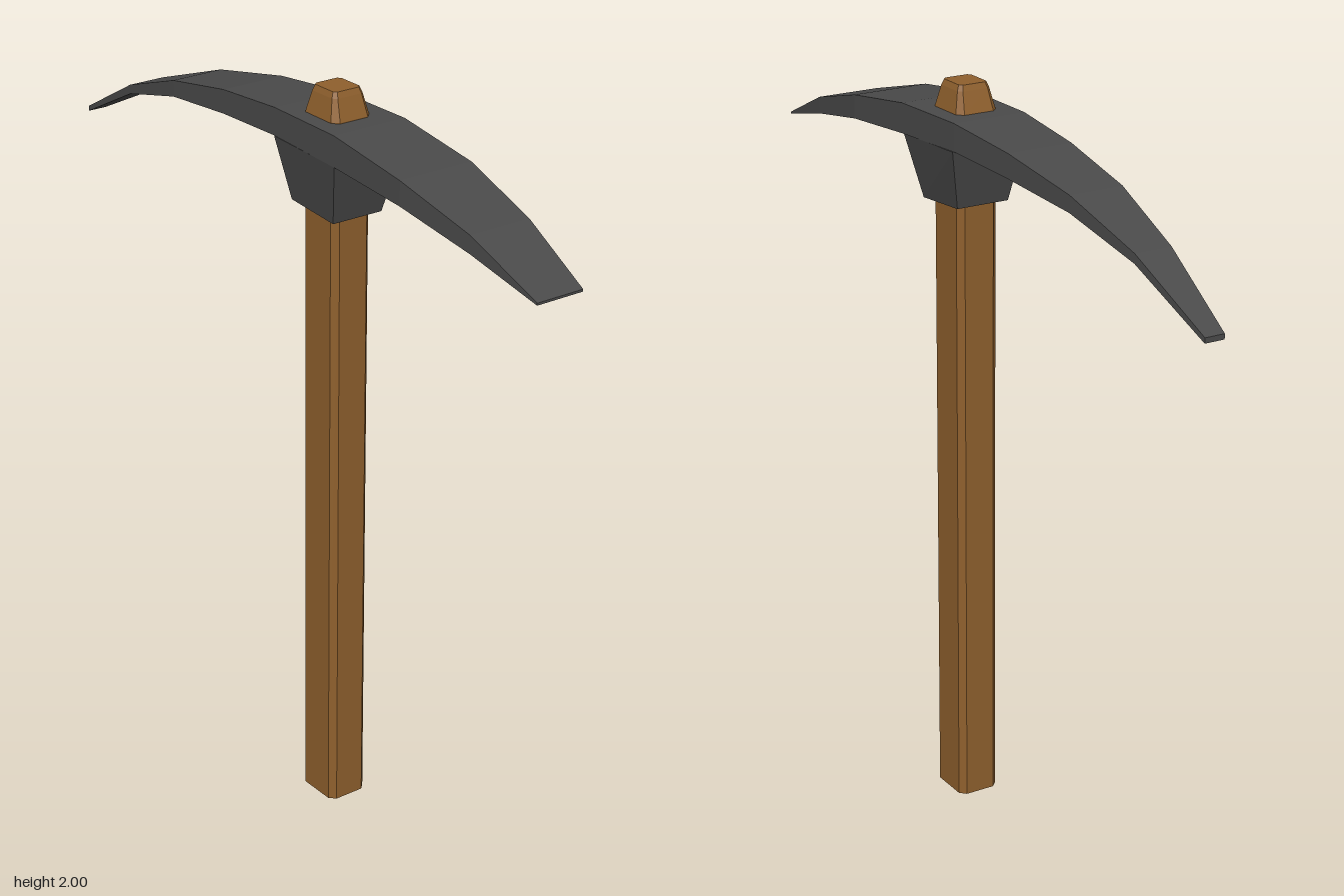
import * as THREE from 'three';

// Closed solid skinned through rings of points (each ring counter-clockwise about the loft direction)
function loft(rings) {
  const n = rings[0].length, last = rings.length - 1;
  const index = [];
  for (let i = 0; i < last; i++) {
    for (let j = 0; j < n; j++) {
      const k = (j + 1) % n;
      const a = i * n + j, b = i * n + k, c = b + n, d = a + n;
      index.push(a, b, c, a, c, d);
    }
  }
  for (let j = 1; j < n - 1; j++) {
    index.push(0, j + 1, j);
    index.push(last * n, last * n + j, last * n + j + 1);
  }
  const geo = new THREE.BufferGeometry();
  geo.setAttribute('position', new THREE.Float32BufferAttribute(rings.flat(2), 3));
  geo.setIndex(index);
  const flat = geo.toNonIndexed();
  flat.computeVertexNormals();
  return flat;
}

// Horizontal rectangle with chamfered corners, for the handle
function chamferedRing(y, halfX, halfZ, c) {
  const cx = 0.12;
  return [
    [-halfX + c, halfZ], [halfX - c, halfZ], [halfX, halfZ - c], [halfX, -halfZ + c],
    [halfX - c, -halfZ], [-halfX + c, -halfZ], [-halfX, -halfZ + c], [-halfX, halfZ - c],
  ].map(([x, z]) => [cx + x, y, z + 0.002]);
}

export function createModel() {
  const iron = new THREE.MeshStandardMaterial({ color: 0x4a4a4a, flatShading: true });
  iron.name = 'dark iron';
  const wood = new THREE.MeshStandardMaterial({ color: 0x8f602d, flatShading: true });
  wood.name = 'brown wood';

  const group = new THREE.Group();
  group.name = 'pickaxe';
  const add = (name, geo, mat) => {
    const mesh = new THREE.Mesh(geo, mat);
    mesh.name = name;
    group.add(mesh);
  };

  // Curved head: x, top, bottom, back z, front z
  const stations = [
    [-0.97, 1.652, 1.638, -0.02, 0.035],
    [-0.72, 1.785, 1.76, -0.045, 0.058],
    [-0.48, 1.866, 1.822, -0.07, 0.08],
    [-0.235, 1.91, 1.846, -0.09, 0.092],
    [0, 1.93, 1.857, -0.102, 0.103],
    [0.245, 1.927, 1.847, -0.11, 0.106],
    [0.5, 1.89, 1.826, -0.11, 0.106],
    [0.74, 1.826, 1.78, -0.087, 0.09],
    [0.96, 1.73, 1.724, -0.062, 0.075],
  ];
  add('head', loft(stations.map(([x, t, b, z0, z1]) =>
    [[x, t, z0], [x, t, z1], [x, b, z1], [x, b, z0]])), iron);

  // Tapered socket under the head; its lower rim leans slightly
  const socketRing = (x0, x1, y0, y1, z0, z1) =>
    [[x0, y0, z1], [x1, y1, z1], [x1, y1, z0], [x0, y0, z0]];
  add('socket', loft([
    socketRing(0.035, 0.205, 1.695, 1.682, -0.072, 0.077),
    socketRing(0, 0.245, 1.857, 1.847, -0.106, 0.105),
  ]), iron);

  // Handle with chamfered edges, tapering where it passes through the head
  add('handle', loft([
    chamferedRing(0, 0.068, 0.058, 0.016),
    chamferedRing(1.93, 0.068, 0.058, 0.016),
    chamferedRing(1.985, 0.05, 0.046, 0.01),
    chamferedRing(2, 0.044, 0.04, 0.008),
  ]), wood);

  return group;
}
